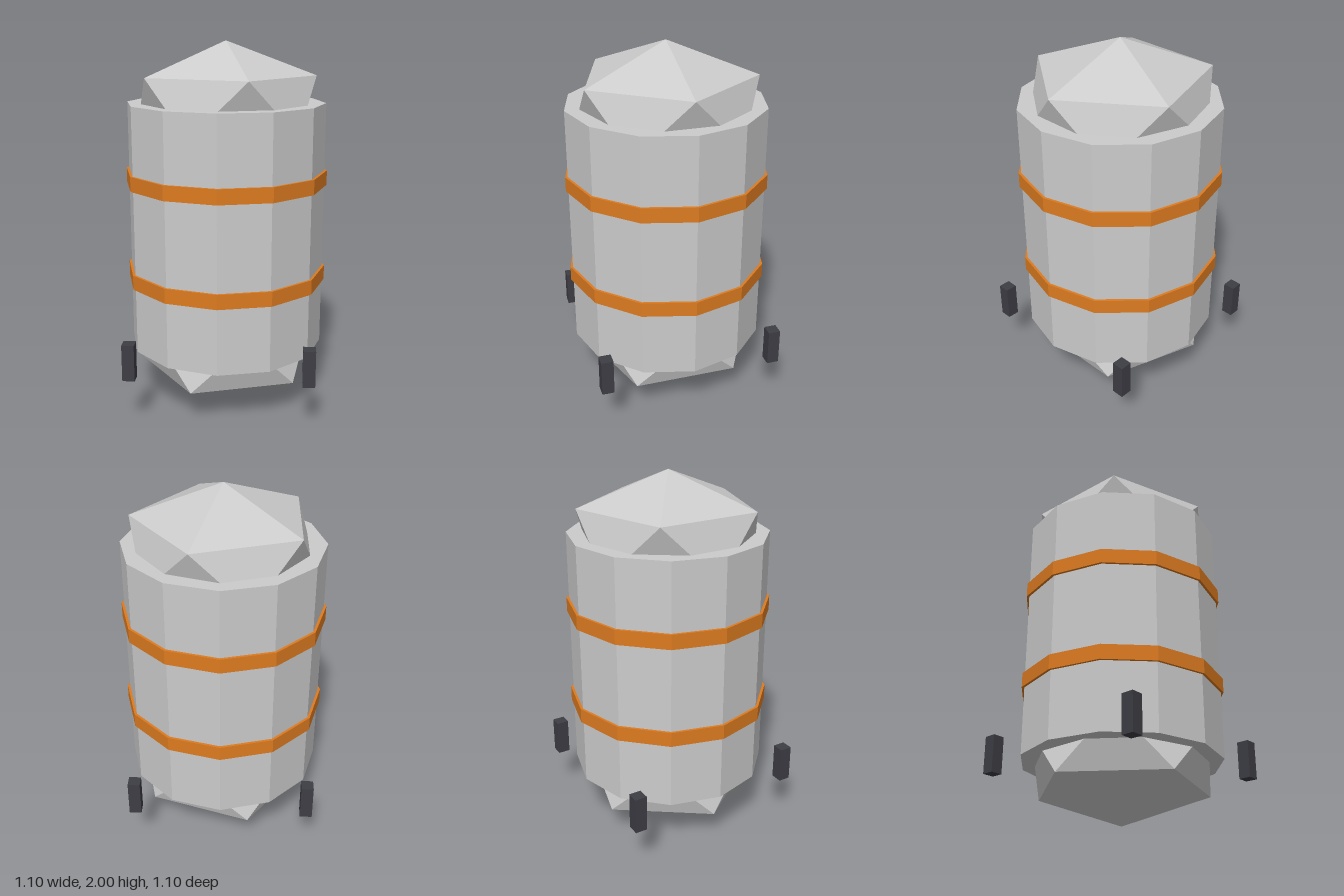
import * as THREE from 'three';

const grey = new THREE.MeshStandardMaterial({ color: 0xcccccc, flatShading: true });
const orange = new THREE.MeshStandardMaterial({ color: 0xdd7b20, flatShading: true });
const dark = new THREE.MeshStandardMaterial({ color: 0x3d3d45, flatShading: true });

const SIDES = 12;
const BODY_RADIUS = 0.538;
const BODY_HEIGHT = 1.348;
const MID_Y = 1.001;

export function createModel() {
  const model = new THREE.Group();
  model.name = 'capsuleTank';

  const add = (name, geometry, material, x, y, z) => {
    const mesh = new THREE.Mesh(geometry, material);
    mesh.name = name;
    mesh.position.set(x, y, z);
    model.add(mesh);
  };

  // Faceted drum
  add('body', new THREE.CylinderGeometry(BODY_RADIUS, BODY_RADIUS, BODY_HEIGHT, SIDES), grey, 0, MID_Y, 0);

  // Squashed icosahedron caps, turned so a corner points straight up and down
  const cap = new THREE.IcosahedronGeometry(0.54, 0);
  cap.rotateX(-Math.atan((1 + Math.sqrt(5)) / 2));
  cap.rotateY(Math.PI / 2);
  cap.scale(1, 0.602, 1);
  add('topCap', cap, grey, 0, MID_Y + BODY_HEIGHT / 2, 0);
  add('bottomCap', cap, grey, 0, MID_Y - BODY_HEIGHT / 2, 0);

  // Two bands around the drum
  const band = new THREE.CylinderGeometry(0.552, 0.552, 0.08, SIDES);
  add('upperBand', band, orange, 0, MID_Y + 0.27, 0);
  add('lowerBand', band, orange, 0, MID_Y - 0.27, 0);

  // Four free-standing blocks around the base
  const block = new THREE.BoxGeometry(0.066, 0.2, 0.066);
  for (const [sideX, x] of [['left', 0.472], ['right', -0.472]]) {
    for (const [sideZ, z] of [['Front', 0.472], ['Back', -0.472]]) {
      add(`${sideX}${sideZ}Block`, block, dark, x, 0.362, z);
    }
  }

  return model;
}
